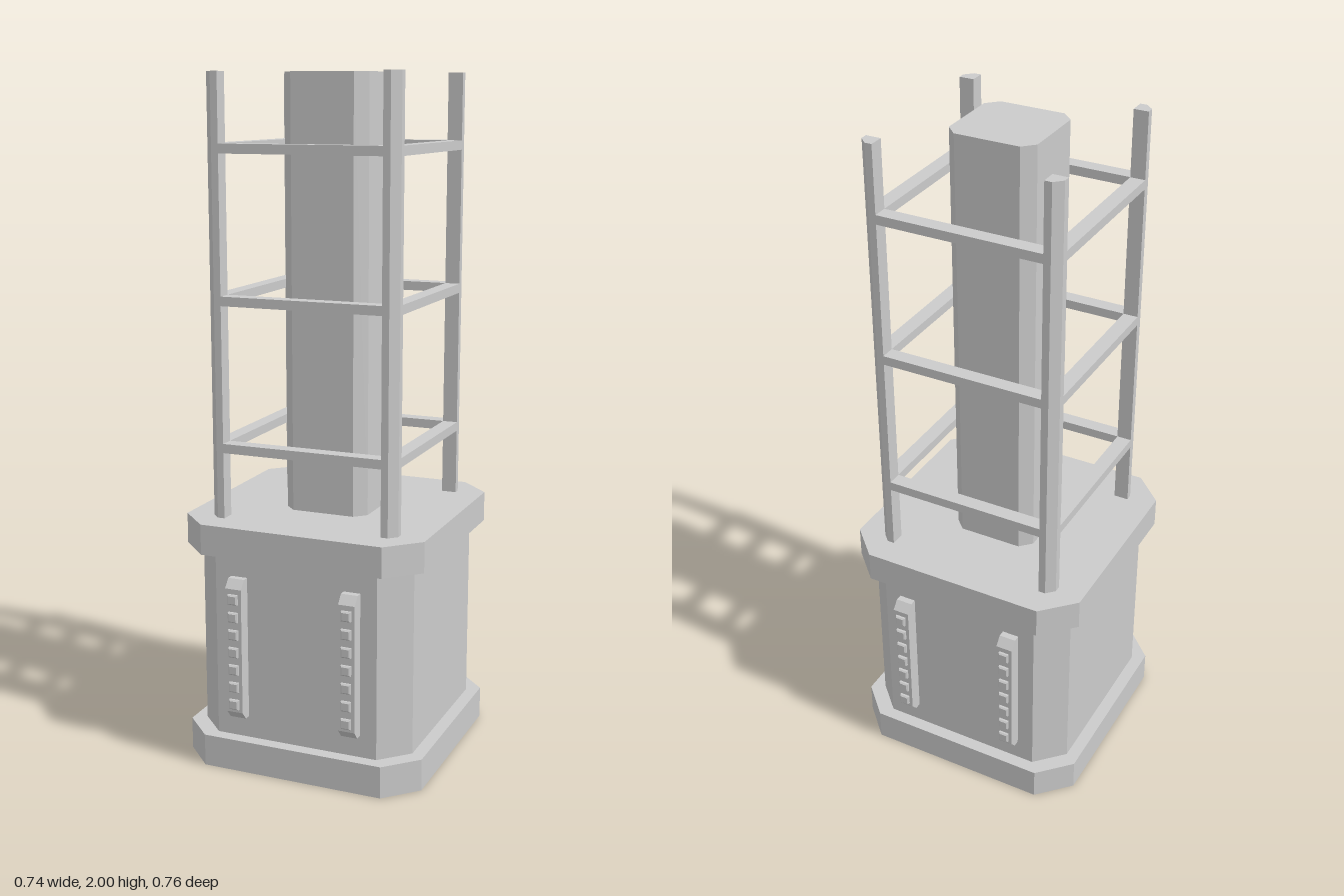
import * as THREE from 'three';

const material = new THREE.MeshStandardMaterial({ color: 0xcccccc, flatShading: true });

function add(parent, name, geometry, x = 0, y = 0, z = 0) {
  const mesh = new THREE.Mesh(geometry, material);
  mesh.name = name;
  mesh.position.set(x, y, z);
  parent.add(mesh);
  return mesh;
}

// Square outline with cut corners: half = half width, flat = half length of each straight side
function octagon(half, flat) {
  return [[half, -flat], [half, flat], [flat, half], [-flat, half],
    [-half, flat], [-half, -flat], [-flat, -half], [flat, -half]]
    .map(([x, y]) => new THREE.Vector2(x, y));
}

// Upright prism from y0 to y1, optionally hollow
function prism(points, y0, y1, hole) {
  const shape = new THREE.Shape(points);
  if (hole) shape.holes.push(new THREE.Path(hole));
  return new THREE.ExtrudeGeometry(shape, { depth: y1 - y0, bevelEnabled: false })
    .rotateX(-Math.PI / 2).translate(0, y0, 0);
}

// Light strip: bar with sloped ends and a row of small tapered studs, facing +z
function lightStrip() {
  const strip = new THREE.Group();
  strip.name = 'lightStrip';
  const profile = new THREE.Shape([[0.325, 0.16], [0.35, 0.16], [0.371, 0.185],
    [0.371, 0.56], [0.35, 0.585], [0.325, 0.585]].map(([z, y]) => new THREE.Vector2(z, y)));
  const bar = new THREE.ExtrudeGeometry(profile, { depth: 0.05, bevelEnabled: false })
    .translate(0, 0, -0.025).rotateY(-Math.PI / 2);
  add(strip, 'stripBar', bar);
  const side = 0.03 / Math.SQRT2, top = 0.022 / Math.SQRT2;
  for (let i = 0; i < 7; i++) {
    const y = 0.21 + i * 0.0533;
    add(strip, 'studBase', new THREE.BoxGeometry(0.03, 0.03, 0.008), 0, y, 0.373);
    const cap = new THREE.CylinderGeometry(top, side, 0.004, 4).rotateY(Math.PI / 4).rotateX(Math.PI / 2);
    add(strip, 'studCap', cap, 0, y, 0.379);
  }
  return strip;
}

export function createModel() {
  const model = new THREE.Group();
  model.name = 'tower';

  // Hollow base, open underneath, with a foot rim and a closed deck
  const cavity = octagon(0.325, 0.248);
  add(model, 'footRim', prism(octagon(0.368, 0.277), 0, 0.095, cavity));
  add(model, 'baseWall', prism(octagon(0.33, 0.25), 0.095, 0.65, cavity));
  add(model, 'deck', prism(octagon(0.368, 0.277), 0.65, 0.74));

  // Central column
  add(model, 'column', prism(octagon(0.128, 0.095), 0.74, 2));

  // Corner posts, outer corner cut off, and the rails between them
  const post = [[0.242, 0.242], [0.286, 0.242], [0.286, 0.263], [0.263, 0.286], [0.242, 0.286]]
    .map(([x, y]) => new THREE.Vector2(x, y));
  for (let i = 0; i < 4; i++) {
    const side = new THREE.Group();
    side.name = 'frameSide';
    side.rotation.y = i * Math.PI / 2;
    add(side, 'cornerPost', prism(post, 0.74, 2));
    for (const y of [0.948, 1.372, 1.793]) {
      add(side, 'rail', new THREE.BoxGeometry(0.484, 0.027, 0.044), 0, y, 0.264);
    }
    model.add(side);
  }

  // Two light strips on the front and two on the back
  for (const turn of [0, Math.PI]) {
    const face = new THREE.Group();
    face.name = turn ? 'backStrips' : 'frontStrips';
    face.rotation.y = turn;
    for (const x of [-0.175, 0.175]) {
      const strip = lightStrip();
      strip.position.x = x;
      face.add(strip);
    }
    model.add(face);
  }
  return model;
}
